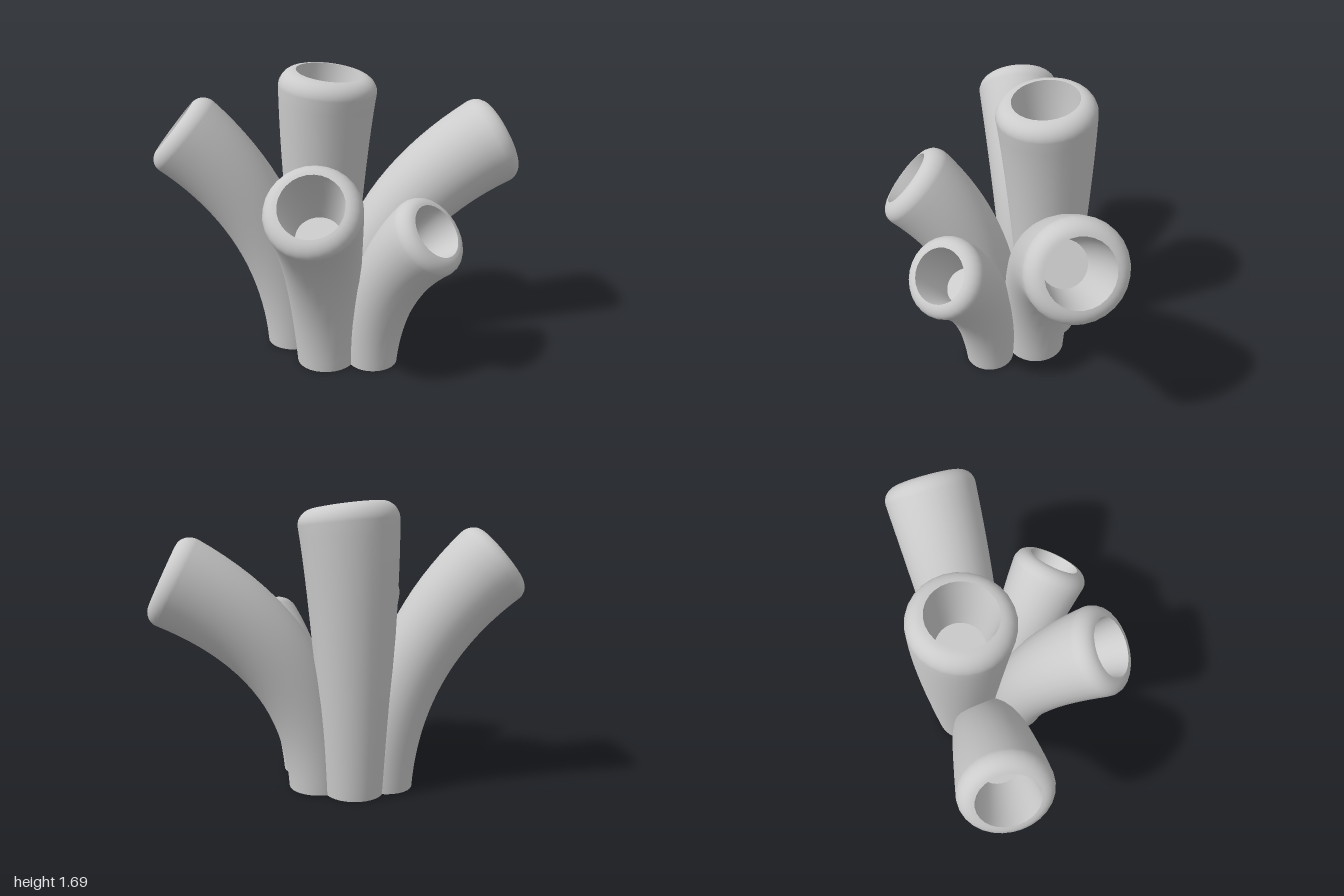
import * as THREE from 'three';

const SIDES = 28;
const material = new THREE.MeshStandardMaterial({ color: 0xcccccc, side: THREE.DoubleSide });

// Skin of circular rings along a curve; each ring is [distance from base, radius]
function loft(curve, rings, name) {
  const length = curve.getLength();
  const tip = curve.getPointAt(1).sub(curve.getPointAt(0));
  const side = new THREE.Vector3(tip.z, 0, -tip.x).normalize();
  const pos = [], index = [];
  rings.forEach(([s, r], i) => {
    const u = THREE.MathUtils.clamp(s / length, 0, 1);
    const p = curve.getPointAt(u);
    const t = curve.getTangentAt(u);
    const b = new THREE.Vector3().crossVectors(t, side);
    for (let j = 0; j < SIDES; j++) {
      const a = (j / SIDES) * Math.PI * 2;
      const v = p.clone().addScaledVector(side, r * Math.cos(a)).addScaledVector(b, r * Math.sin(a));
      pos.push(v.x, v.y, v.z);
      if (i === rings.length - 1) continue;
      const k = i * SIDES + j, n = i * SIDES + (j + 1) % SIDES;
      index.push(k, n, n + SIDES, k, n + SIDES, k + SIDES);
    }
  });
  const geo = new THREE.BufferGeometry();
  geo.setAttribute('position', new THREE.Float32BufferAttribute(pos, 3));
  geo.setIndex(index);
  geo.computeVertexNormals();
  const mesh = new THREE.Mesh(geo, material);
  mesh.name = name;
  return mesh;
}

// One flaring, bent tube: open base, rounded lip, tapered cavity with a floor
function makeTube({ name, base, tip, bend, r0, r1 }) {
  const start = new THREE.Vector3(base[0], 0, base[1]);
  const curve = new THREE.QuadraticBezierCurve3(
    start, start.clone().setY(bend), new THREE.Vector3(...tip));
  const L = curve.getLength();
  const lip = 0.33 * r1;
  const depth = 1.3 * r1;

  // outer wall, then a quarter-round lip
  const wall = [];
  for (let i = 0; i <= 20; i++) {
    const f = i / 20;
    wall.push([f * (L - lip), r0 + (r1 - r0) * f]);
  }
  for (let i = 1; i <= 8; i++) {
    const a = (i / 8) * Math.PI / 2;
    wall.push([L - lip + lip * Math.sin(a), r1 - lip + lip * Math.cos(a)]);
  }

  // cavity wall narrowing inward
  const rim = r1 - lip, floor = 0.48 * r1;
  const cavity = [];
  for (let i = 0; i <= 6; i++) {
    const f = i / 6;
    cavity.push([L - depth * f, rim + (floor - rim) * f]);
  }

  const group = new THREE.Group();
  group.name = name;
  group.add(
    loft(curve, wall, 'outerWall'),
    loft(curve, cavity, 'cavityWall'),
    loft(curve, [[L - depth, floor], [L - depth, 0]], 'cavityFloor'));
  return group;
}

export function createModel() {
  const model = new THREE.Group();
  model.name = 'tubeCluster';
  // base is [x, z]; bend is the height of the curve's control point
  const tubes = [
    { name: 'tallTube', base: [-0.05, -0.25], tip: [-0.03, 1.655, -0.19], bend: 1.25, r0: 0.17, r1: 0.285 },
    { name: 'frontTube', base: [-0.01, 0.235], tip: [0.125, 0.92, 0.63], bend: 0.58, r0: 0.145, r1: 0.23 },
    { name: 'leftTube', base: [0.075, -0.06], tip: [0.88, 1.27, 0.285], bend: 0.85, r0: 0.177, r1: 0.268 },
    { name: 'frontRightTube', base: [-0.23, 0.07], tip: [-0.535, 1.13, 0.44], bend: 0.72, r0: 0.17, r1: 0.26 },
    { name: 'backRightTube', base: [-0.265, -0.255], tip: [-0.83, 1.37, -0.57], bend: 0.84, r0: 0.16, r1: 0.25 },
  ];
  for (const t of tubes) model.add(makeTube(t));
  return model;
}
